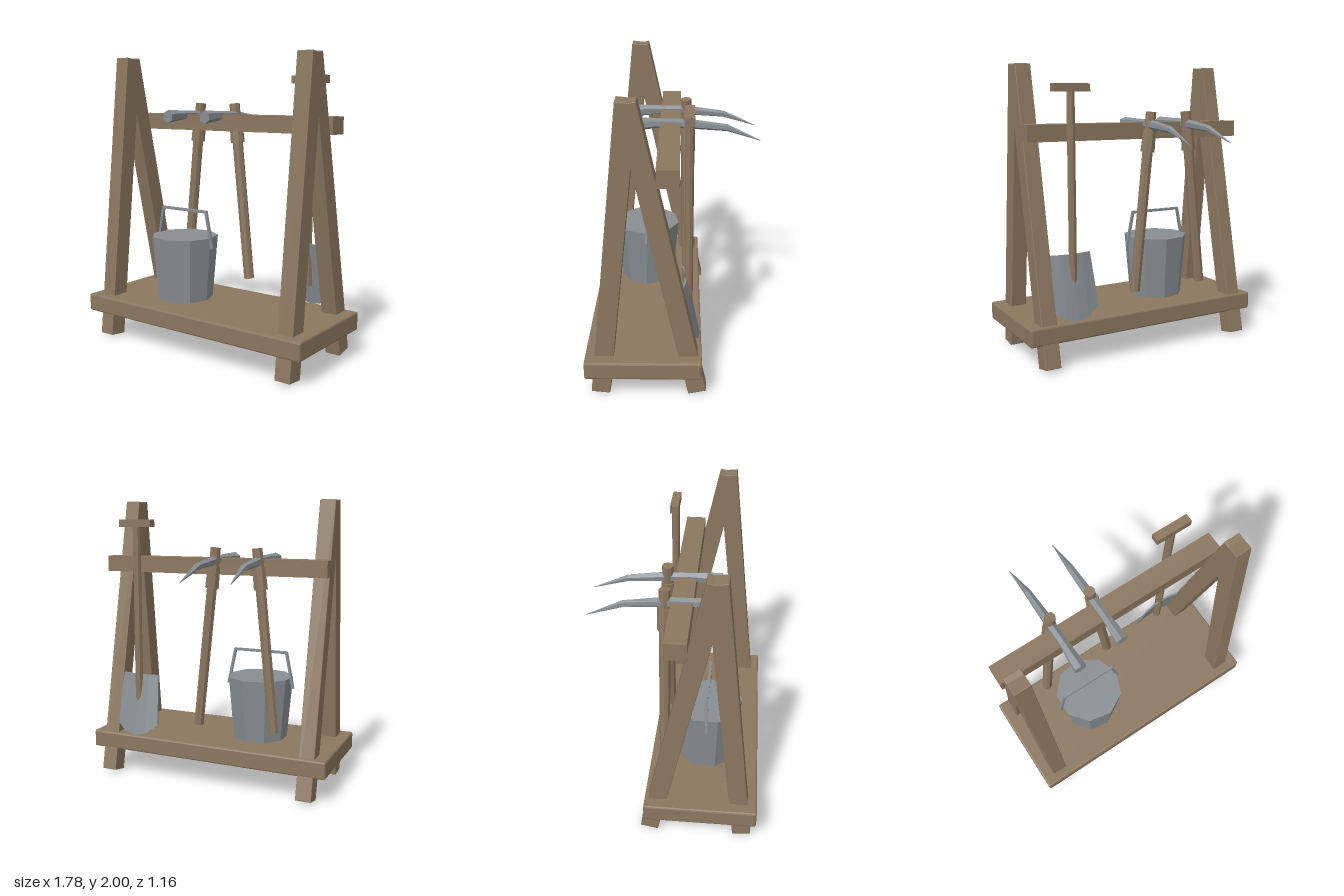
import * as THREE from 'three';
import { RoundedBoxGeometry } from 'three/addons/geometries/RoundedBoxGeometry.js';

const wood = new THREE.MeshStandardMaterial({ color: 0x8b775f, flatShading: true });
wood.name = 'wood';
const metal = new THREE.MeshStandardMaterial({ color: 0x878d92, flatShading: true });
metal.name = 'metal';

function add(parent, name, geometry, material, x = 0, y = 0, z = 0) {
  const mesh = new THREE.Mesh(geometry, material);
  mesh.name = name;
  mesh.position.set(x, y, z);
  parent.add(mesh);
  return mesh;
}

// Square bar running from point a to point b
function strut(parent, name, a, b, width, depth, material, bevel = 0) {
  const p = new THREE.Vector3(...a), q = new THREE.Vector3(...b);
  const length = p.distanceTo(q);
  const geometry = bevel
    ? new RoundedBoxGeometry(width, length, depth, 1, bevel)
    : new THREE.BoxGeometry(width, length, depth);
  const mid = p.clone().add(q).multiplyScalar(0.5);
  const mesh = add(parent, name, geometry, material, mid.x, mid.y, mid.z);
  mesh.quaternion.setFromUnitVectors(new THREE.Vector3(0, 1, 0), q.sub(p).normalize());
  return mesh;
}

// Closed solid through equal-sized loops of points, capped at both ends
function loft(loops) {
  const n = loops[0].length, last = (loops.length - 1) * n, index = [];
  for (let i = 0; i < loops.length - 1; i++) {
    for (let j = 0; j < n; j++) {
      const a = i * n + j, b = i * n + (j + 1) % n;
      index.push(a, a + n, b + n, a, b + n, b);
    }
  }
  for (let j = 1; j < n - 1; j++) index.push(0, j, j + 1, last, last + j + 1, last + j);
  const geometry = new THREE.BufferGeometry();
  geometry.setAttribute('position', new THREE.Float32BufferAttribute(loops.flat(2), 3));
  geometry.setIndex(index);
  geometry.computeVertexNormals();
  return geometry;
}

function makeRack() {
  const rack = new THREE.Group();
  rack.name = 'rack';
  add(rack, 'platform', new RoundedBoxGeometry(1.78, 0.124, 0.756, 1, 0.012), wood, 0, 0.243, 0.197);
  for (const x of [-0.754, 0.75]) {
    strut(rack, 'frontLeg', [x, 0.012, 0.483], [x, 1.992, 0.263], 0.11, 0.124, wood, 0.004);
    strut(rack, 'backLeg', [x, 0.015, -0.155], [x, 1.986, 0.265], 0.11, 0.122, wood, 0.004);
  }
  add(rack, 'crossBeam', new THREE.BoxGeometry(1.655, 0.112, 0.138), wood, -0.002, 1.547, 0.033);
  return rack;
}

function makeBucket() {
  const bucket = new THREE.Group();
  bucket.name = 'bucket';
  bucket.position.set(-0.287, 0, 0.21);
  add(bucket, 'bucketBody', new THREE.CylinderGeometry(0.236, 0.197, 0.448, 9, 1, false, Math.PI / 20),
    metal, 0, 0.529, 0);
  // Bail: two slanted sides and a top bar
  for (const s of [-1, 1]) {
    strut(bucket, 'bailSide', [s * 0.247, 0.678, 0], [s * 0.194, 0.938, 0], 0.018, 0.018, metal);
  }
  strut(bucket, 'bailTop', [-0.2, 0.935, 0], [0.2, 0.935, 0], 0.018, 0.018, metal);
  return bucket;
}

// Pickaxe hung from its top point, leaning sideways
function makePickaxe(x, z, tilt) {
  const pick = new THREE.Group();
  pick.name = 'pickaxe';
  pick.position.set(x, 1.677, z);
  pick.rotation.z = tilt;
  add(pick, 'pickHandle', new THREE.CylinderGeometry(0.037, 0.036, 1.255, 8), wood, 0, -0.6275, 0);
  add(pick, 'pickCollar', new THREE.CylinderGeometry(0.046, 0.05, 0.15, 8), wood, 0, -0.2, 0);
  // Head sections: z, y, radius
  const sections = [
    [0.355, -0.088, 0.045], [0.155, -0.08, 0.03], [0, -0.085, 0.034],
    [-0.265, -0.112, 0.024], [-0.497, -0.2, 0.002],
  ];
  const loops = sections.map(([sz, sy, r]) => Array.from({ length: 6 }, (_, j) => {
    const a = Math.PI / 2 + j * Math.PI / 3;
    return [r * Math.cos(a), sy + r * Math.sin(a), sz];
  }));
  add(pick, 'pickHead', loft(loops), metal);
  return pick;
}

function makeShovel() {
  const shovel = new THREE.Group();
  shovel.name = 'shovel';
  shovel.position.set(0.547, 0, -0.094);
  add(shovel, 'shovelHandle', new THREE.CylinderGeometry(0.028, 0.028, 1.375, 8), wood, 0, 1.137, 0);
  add(shovel, 'shovelGrip', new THREE.BoxGeometry(0.255, 0.052, 0.058), wood, 0, 1.839, 0);
  // Leaning blade, dished backwards along its middle
  const depthAt = (t, y) => 0.038 - (0.745 - y) * 0.2 - 0.02 * (1 - t * t);
  const loops = [1, 0.5, 0, -0.5, -1].map((t) => {
    const low = 0.305 + 0.08 * Math.abs(t) ** 2;
    const corner = (y, halfWidth, dz) => [t * halfWidth, y, depthAt(t, y) + dz];
    return [corner(0.745, 0.143, -0.007), corner(0.745, 0.143, 0.007),
      corner(low, 0.168, 0.007), corner(low, 0.168, -0.007)];
  });
  add(shovel, 'shovelBlade', loft(loops), metal);
  return shovel;
}

export function createModel() {
  const model = new THREE.Group();
  model.name = 'toolRack';
  model.add(
    makeRack(),
    makeBucket(),
    makePickaxe(-0.36, -0.075, -0.106),
    makePickaxe(-0.065, -0.087, 0.104),
    makeShovel(),
  );
  return model;
}
